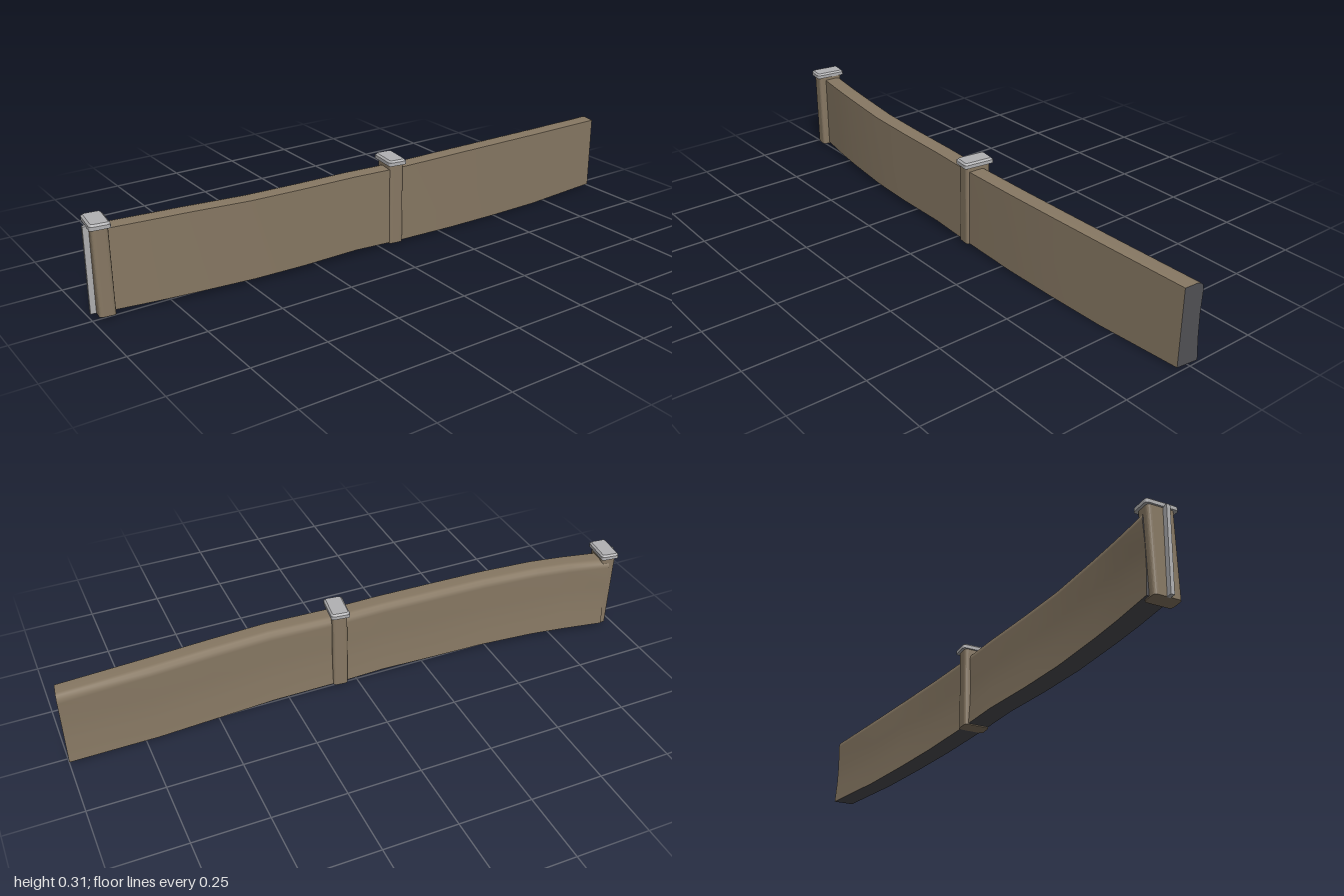
import * as THREE from 'three';

const brown = new THREE.MeshStandardMaterial({ name: 'brown wall', color: 0x877863 });
const grey = new THREE.MeshStandardMaterial({ name: 'light grey stone', color: 0xb2b2b4 });
const dark = new THREE.MeshStandardMaterial({ name: 'dark underside', color: 0x505054 });

const YAW = -0.12;

// wall path: z, centre x, bottom y, top y
const path = [
  [-0.996, 0.009, 0.010, 0.270], [-0.7, 0.020, 0.001, 0.274], [-0.5, 0.028, 0.004, 0.278],
  [-0.3, 0.034, 0.009, 0.281], [-0.06, 0.029, 0.013, 0.278], [0.1, 0.026, 0.020, 0.282],
  [0.3, 0.022, 0.016, 0.282], [0.48, 0.016, 0.016, 0.283], [0.68, -0.003, 0.017, 0.286],
  [0.8, -0.020, 0.016, 0.284], [0.95, -0.046, 0.015, 0.280],
];

// cross-section pieces: x offset, height fraction
const backAndTop = [[-0.037, 0], [-0.031, 0.3], [-0.029, 0.6], [-0.032, 0.9], [-0.029, 0.96], [-0.02, 0.99], [-0.008, 1], [0.035, 0.992]];
const frontSide = [[0.035, 0.992], [0.036, 0]];
const underside = [[0.036, 0], [-0.037, 0]];

const place = ([z, cx, y0, y1], [ox, f]) => [cx + ox, y0 + f * (y1 - y0), z + ox * 0.12];

function meshFrom(name, positions, index, material) {
  const g = new THREE.BufferGeometry();
  g.setAttribute('position', new THREE.Float32BufferAttribute(positions, 3));
  g.setIndex(index);
  g.computeVertexNormals();
  const m = new THREE.Mesh(g, material);
  m.name = name;
  return m;
}

// skin one piece of the cross-section along the path
function skin(name, piece, material) {
  const positions = path.flatMap((s) => piece.flatMap((p) => place(s, p)));
  const index = [], n = piece.length;
  for (let i = 0; i < path.length - 1; i++) {
    for (let k = 0; k < n - 1; k++) {
      const a = i * n + k, c = a + n;
      index.push(a, c, a + 1, a + 1, c, c + 1);
    }
  }
  return meshFrom(name, positions, index, material);
}

// flat end of the wall
function wallEnd(name, station, flip) {
  const ring = [...backAndTop, [0.036, 0]];
  const positions = [...ring.flatMap((p) => place(station, p)), ...place(station, [0, 0.5])];
  const index = [], n = ring.length;
  for (let k = 0; k < n; k++) {
    const next = (k + 1) % n;
    index.push(n, flip ? next : k, flip ? k : next);
  }
  return meshFrom(name, positions, index, dark);
}

// rectangle with rounded corners, extruded upwards
function roundedSlab(w, d, h, r, bevel = 0) {
  const x = w / 2 - bevel, y = d / 2 - bevel, s = new THREE.Shape();
  s.moveTo(-x + r, -y);
  s.lineTo(x - r, -y);
  s.quadraticCurveTo(x, -y, x, -y + r);
  s.lineTo(x, y - r);
  s.quadraticCurveTo(x, y, x - r, y);
  s.lineTo(-x + r, y);
  s.quadraticCurveTo(-x, y, -x, y - r);
  s.lineTo(-x, -y + r);
  s.quadraticCurveTo(-x, -y, -x + r, -y);
  const g = new THREE.ExtrudeGeometry(s, {
    depth: h - bevel, curveSegments: 5, bevelEnabled: bevel > 0,
    bevelThickness: bevel, bevelSize: bevel, bevelSegments: 1,
  });
  return g.rotateX(-Math.PI / 2);
}

function pillar(name, x, z) {
  const group = new THREE.Group();
  group.name = name;
  const post = new THREE.Mesh(roundedSlab(0.09, 0.052, 0.283, 0.013), brown);
  post.name = 'post';
  post.position.y = 0.011;
  // flat slab with a chamfered top
  const slab = new THREE.Mesh(roundedSlab(0.108, 0.064, 0.012, 0.01), grey);
  slab.name = 'capSlab';
  slab.position.y = 0.292;
  const top = new THREE.Mesh(roundedSlab(0.108, 0.064, 0.009, 0.008, 0.006), grey);
  top.name = 'capTop';
  top.position.y = 0.301;
  group.add(post, slab, top);
  group.position.set(x, 0, z);
  group.rotation.y = YAW;
  return group;
}

export function createModel() {
  const model = new THREE.Group();
  model.name = 'curvedWall';
  model.add(
    skin('wallBackAndTop', backAndTop, brown),
    skin('wallFrontSide', frontSide, brown),
    skin('wallUnderside', underside, dark),
    wallEnd('wallRearEnd', path[0], false),
    wallEnd('wallFrontEnd', path[path.length - 1], true),
    pillar('middlePillar', 0.027, -0.06),
    pillar('endPillar', -0.029, 0.95),
  );
  // slim leaning strip on the end pillar
  const strip = new THREE.Mesh(new THREE.BoxGeometry(0.012, 0.285, 0.02), grey);
  strip.name = 'frontStrip';
  strip.position.set(-0.027, 0.153, 0.984);
  strip.rotation.set(0, YAW, -0.038);
  model.add(strip);
  return model;
}
